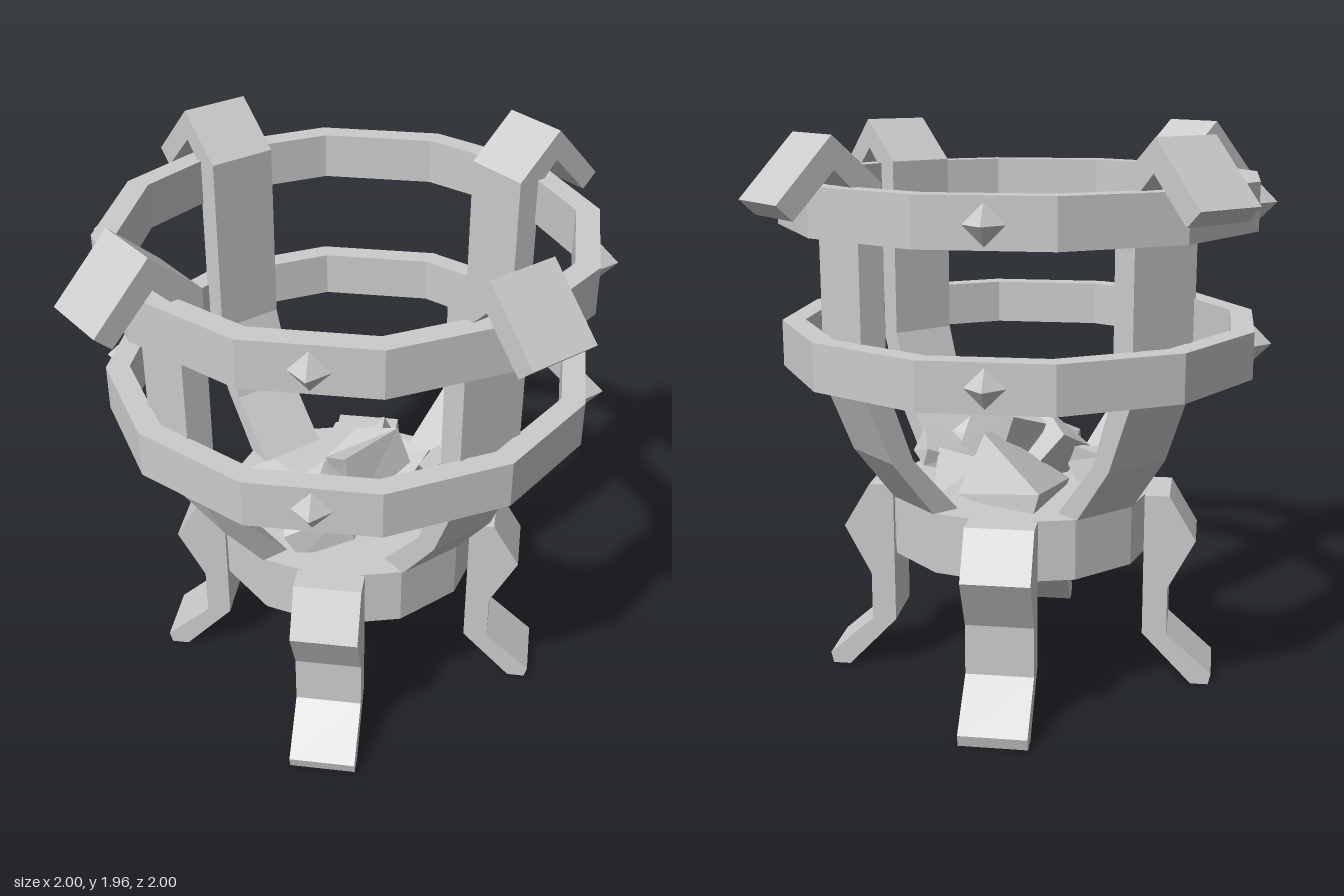
import * as THREE from 'three';

const mat = new THREE.MeshStandardMaterial({ color: 0xcccccc, flatShading: true });
const openMat = new THREE.MeshStandardMaterial({ color: 0xcccccc, flatShading: true, side: THREE.DoubleSide });
const vecs = (pts) => pts.map(([x, y]) => new THREE.Vector2(x, y));

// Flat bar cut from a (radius, height) profile, centred on its width
function bar(profile, width) {
  const geo = new THREE.ExtrudeGeometry(new THREE.Shape(vecs(profile)), { depth: width, bevelEnabled: false });
  return geo.translate(0, 0, -width / 2);
}

// Angular lump: a box with its corners pushed about by a seeded rule
function lump(size, seed) {
  const geo = new THREE.BoxGeometry(...size);
  const p = geo.attributes.position;
  for (let i = 0; i < p.count; i++) {
    const corner = (p.getX(i) > 0 ? 1 : 0) + (p.getY(i) > 0 ? 2 : 0) + (p.getZ(i) > 0 ? 4 : 0);
    const k = (n) => 0.85 + 0.3 * Math.sin(seed * 7.3 + corner * 2.9 + n * 4.1);
    p.setXYZ(i, p.getX(i) * k(0), p.getY(i) * k(1), p.getZ(i) * k(2));
  }
  return geo;
}

export function createModel() {
  const root = new THREE.Group();
  const add = (name, geo, material = mat) => {
    const mesh = new THREE.Mesh(geo, material);
    mesh.name = name;
    root.add(mesh);
    return mesh;
  };

  // Base: twelve-sided collar, closed on top and open below
  add('basePlate', new THREE.LatheGeometry(
    vecs([[0.475, 0.49], [0.475, 0.7], [0, 0.7]]), 12, Math.PI / 12), openMat);

  // Hoops around the basket
  for (const [y0, y1] of [[1.15, 1.31], [1.64, 1.8]]) {
    add('hoop', new THREE.LatheGeometry(
      vecs([[0.75, y0], [0.83, y0], [0.83, y1], [0.75, y1], [0.75, y0]]), 12));
  }

  // Four uprights with hooked tops, four bent legs, and studs between the uprights
  const upright = bar([
    [0.365, 0.7], [0.465, 0.7], [0.62, 0.9], [0.725, 1.15], [0.725, 1.78], [0.8, 1.855],
    [0.945, 1.71], [1, 1.76], [0.805, 1.96], [0.635, 1.81], [0.635, 1.16], [0.54, 0.9],
  ], 0.246);
  const leg = bar([
    [0.627, 0], [0.69, 0], [0.7, 0.04], [0.537, 0.185], [0.537, 0.36],
    [0.632, 0.54], [0.537, 0.7], [0.45, 0.7], [0.45, 0.185],
  ], 0.232);
  const stud = new THREE.OctahedronGeometry(0.065);
  for (let i = 0; i < 4; i++) {
    const a = i * Math.PI / 2;
    const diagonal = a + Math.PI / 4;
    add('upright', upright).rotation.y = a;
    add('leg', leg).rotation.y = diagonal;
    for (const y of [1.23, 1.715]) {
      const s = add('stud', stud);
      s.position.set(0.802 * Math.cos(diagonal), y, -0.802 * Math.sin(diagonal));
      s.rotation.y = diagonal;
    }
  }

  // Heap of coals: position, size, rotation
  const coals = [
    [[-0.1, 0.75, -0.12], [0.34, 0.2, 0.34], [0.25, 0.5, 0.3]],
    [[0.04, 0.74, -0.2], [0.26, 0.18, 0.22], [0.3, 0.2, -0.2]],
    [[0.07, 0.87, -0.02], [0.16, 0.2, 0.26], [0.15, 0.15, 0.2]],
    [[-0.16, 0.74, 0.25], [0.2, 0.14, 0.2], [0.2, -0.3, 0.3]],
    [[0.13, 0.78, 0.22], [0.18, 0.18, 0.24], [0.5, -0.5, 0.2]],
    [[0.0, 0.8, 0.14], [0.2, 0.2, 0.2], [0.6, 0.3, 0.4]],
    [[0.27, 0.82, 0.0], [0.14, 0.12, 0.16], [0.5, 0.4, 0.6]],
    [[0.19, 0.82, -0.25], [0.18, 0.09, 0.12], [0.4, -0.4, 0.3]],
    [[0.19, 0.74, -0.14], [0.14, 0.14, 0.16], [0.2, 0.5, 0.1]],
  ];
  coals.forEach(([pos, size, rot], i) => {
    const c = add('coal', lump(size, i + 1));
    c.position.set(...pos);
    c.rotation.set(...rot);
  });

  return root;
}
